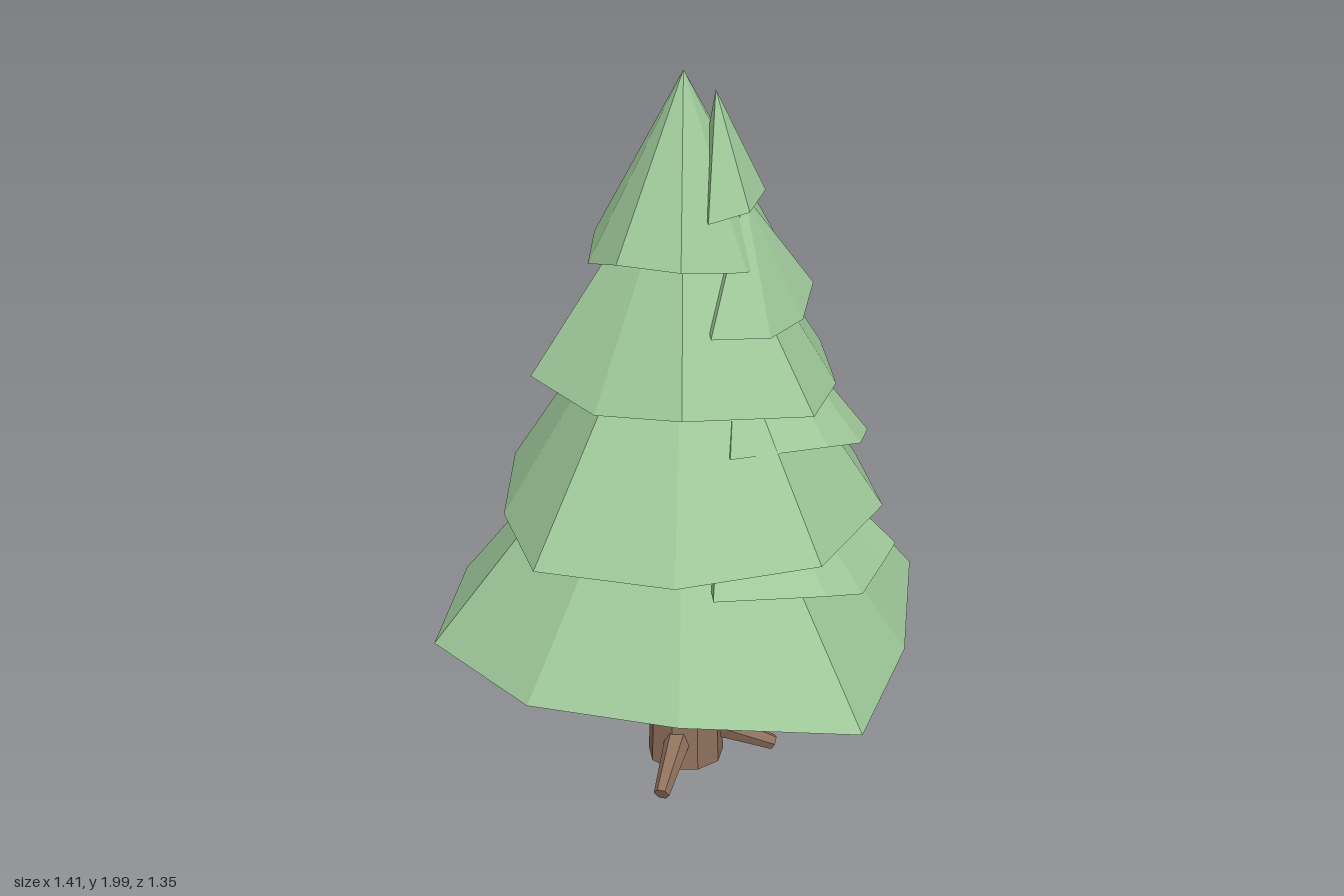
import * as THREE from 'three';

export function createModel() {
  const tree = new THREE.Group();
  tree.name = 'pineTree';
  const needles = new THREE.MeshStandardMaterial({ color: 0x9fc99a });
  needles.name = 'needleGreen';
  const bark = new THREE.MeshStandardMaterial({ color: 0x8f715d });
  bark.name = 'barkBrown';

  const add = (name, geometry, material) => {
    const flat = geometry.index ? geometry.toNonIndexed() : geometry;
    flat.computeVertexNormals();
    const mesh = new THREE.Mesh(flat, material);
    mesh.name = name;
    tree.add(mesh);
    return mesh;
  };

  // Faceted closed cone: apex, uneven rim (clockwise from above), base centre
  const bough = (name, apex, rim, base) => {
    const points = [];
    rim.forEach((a, i) => {
      const b = rim[(i + 1) % rim.length];
      points.push(...apex, ...b, ...a, ...base, ...a, ...b);
    });
    const geometry = new THREE.BufferGeometry();
    geometry.setAttribute('position', new THREE.Float32BufferAttribute(points, 3));
    add(name, geometry, needles);
  };

  // Main tiers, bottom to top, sharing one axis
  const tiers = [
    { top: 1.32, base: 0.43, rim: [
      [-0.03, 0.455, -0.68], [0.36, 0.43, -0.47], [0.70, 0.445, -0.14],
      [0.50, 0.42, 0.29], [0.22, 0.42, 0.67], [-0.23, 0.455, 0.545],
      [-0.56, 0.44, 0.29], [-0.71, 0.43, -0.13], [-0.51, 0.405, -0.59]] },
    { top: 1.63, base: 0.83, rim: [
      [-0.03, 0.80, -0.53], [0.29, 0.85, -0.39], [0.50, 0.84, -0.10],
      [0.45, 0.83, 0.22], [0.16, 0.835, 0.515], [-0.23, 0.835, 0.515],
      [-0.53, 0.82, 0.28], [-0.51, 0.805, -0.10], [-0.39, 0.82, -0.44]] },
    { top: 1.83, base: 1.19, rim: [
      [-0.03, 1.16, -0.42], [0.21, 1.19, -0.29], [0.38, 1.20, -0.08],
      [0.34, 1.165, 0.14], [0.20, 1.17, 0.34], [-0.15, 1.20, 0.33],
      [-0.33, 1.175, 0.165], [-0.43, 1.20, -0.08], [-0.26, 1.20, -0.29]] },
    { top: 2.0, base: 1.54, rim: [
      [-0.03, 1.54, -0.235], [0.12, 1.52, -0.19], [0.23, 1.54, -0.06],
      [0.19, 1.53, 0.08], [0.07, 1.52, 0.19], [-0.115, 1.55, 0.22],
      [-0.25, 1.55, 0.11], [-0.275, 1.50, -0.06], [-0.21, 1.53, -0.22]] },
  ];
  tiers.forEach(({ top, base, rim }, i) =>
    bough(`tier${i + 1}`, [-0.03, top, -0.015], rim, [-0.03, base, -0.015]));

  // Partial tiers growing out of the front left side; last rim point is buried
  const sideTiers = [
    { apex: [0.06, 1.18, 0.06], rim: [
      [0.46, 0.72, -0.15], [0.505, 0.695, 0.19], [0.44, 0.69, 0.27],
      [0.31, 0.69, 0.43], [0.19, 0.725, 0.475], [-0.10, 0.735, 0.43],
      [0, 0.76, 0]] },
    { apex: [0.09, 1.47, 0.07], rim: [
      [0.38, 1.05, -0.11], [0.425, 1.03, 0.16], [0.36, 1.045, 0.27],
      [0.24, 1.08, 0.34], [-0.03, 1.09, 0.355], [0, 1.1, 0]] },
    { apex: [0.10, 1.69, 0.085], rim: [
      [0.25, 1.44, -0.08], [0.305, 1.42, 0.05], [0.235, 1.365, 0.16],
      [0.11, 1.365, 0.26], [-0.05, 1.38, 0.26], [0.01, 1.42, 0]] },
    { apex: [0.04, 1.955, 0.03], rim: [
      [0.12, 1.69, -0.02], [0.165, 1.69, 0.06], [0.09, 1.665, 0.15],
      [-0.025, 1.65, 0.165], [0, 1.68, 0]] },
  ];
  sideTiers.forEach(({ apex, rim }, i) =>
    bough(`sideTier${i + 1}`, apex, rim, [0.06, rim[0][1], 0.05]));

  // Trunk
  const trunk = add('trunk', new THREE.CylinderGeometry(0.092, 0.107, 0.43, 9), bark);
  trunk.position.set(-0.028, 0.24, -0.012);

  // Three tapered roots sloping down to the ground
  const up = new THREE.Vector3(0, 1, 0);
  [[0.22, 0.03, 0.03], [-0.165, 0.03, 0.19], [-0.10, 0.03, -0.235]].forEach((tip, i) => {
    const end = new THREE.Vector3(...tip);
    const start = new THREE.Vector3(-0.028, 0.125, -0.012).lerp(new THREE.Vector3(tip[0], 0.125, tip[2]), 0.2);
    const dir = start.clone().sub(end);
    const root = add(`root${i + 1}`, new THREE.CylinderGeometry(0.04, 0.022, dir.length(), 6), bark);
    root.position.copy(start).add(end).multiplyScalar(0.5);
    root.quaternion.setFromUnitVectors(up, dir.normalize());
  });

  return tree;
}
